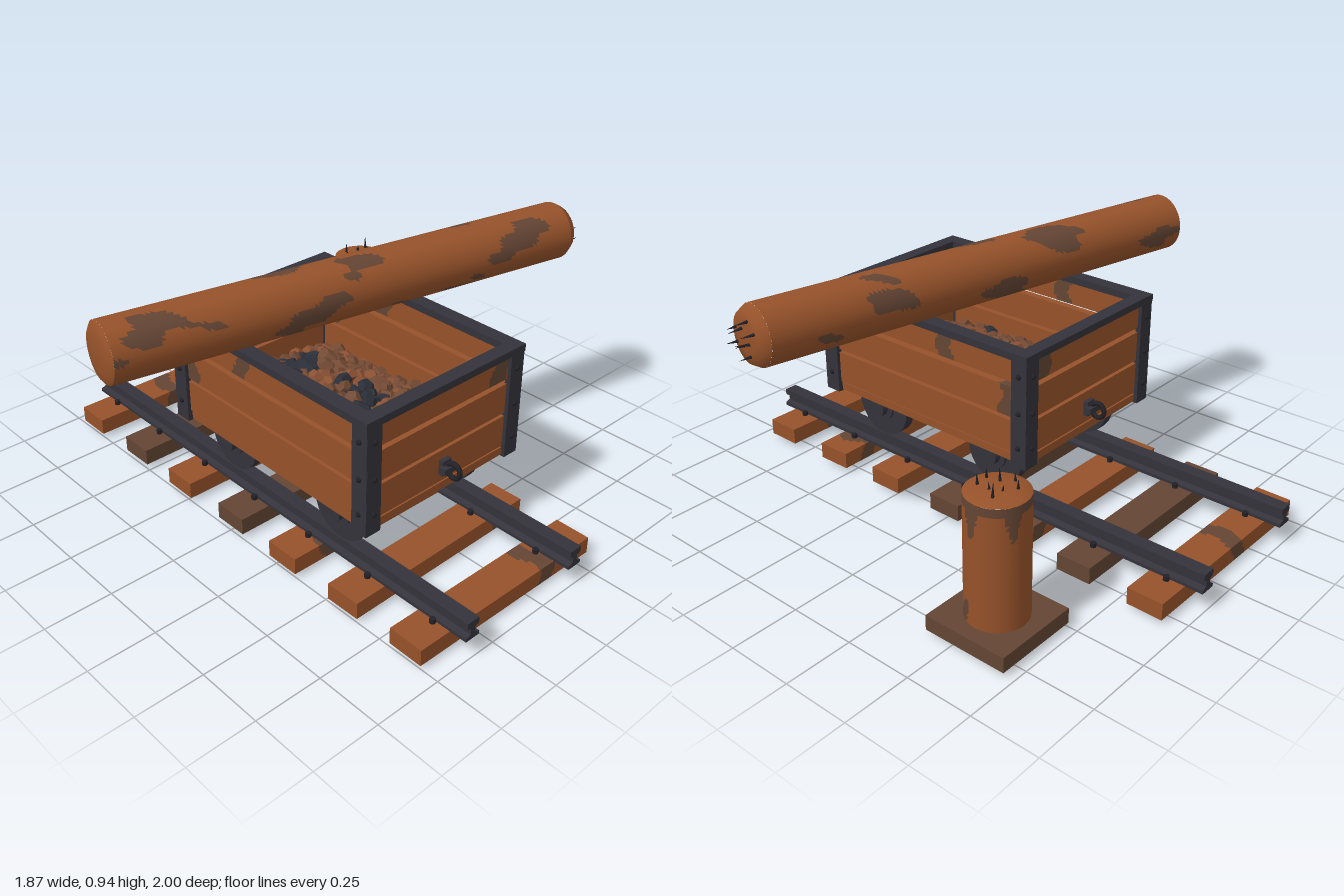
import * as THREE from 'three';

const mat = (name, color, extra = {}) => {
  const m = new THREE.MeshStandardMaterial({ color, ...extra });
  m.name = name;
  return m;
};

export function createModel() {
  const wood = mat('rusty wood', 0x96522a);
  const dark = mat('dark wood', 0x644534);
  const iron = mat('iron', 0x34323a);
  const black = mat('bolt black', 0x222127);
  const coal = mat('coal', 0x2c2f38, { flatShading: true });
  const oreA = mat('brown ore', 0x734a34, { flatShading: true });
  const oreB = mat('red ore', 0x8a5033, { flatShading: true });

  const model = new THREE.Group();
  model.name = 'oreWagonOnTrack';
  const CX = -0.1, CZ = 0.15; // wagon centre

  const add = (parent, name, geo, material, x = 0, y = 0, z = 0) => {
    const m = new THREE.Mesh(geo, material);
    m.name = name;
    m.position.set(x, y, z);
    parent.add(m);
    return m;
  };
  const group = (name, x = 0, y = 0, z = 0) => {
    const g = new THREE.Group();
    g.name = name;
    g.position.set(x, y, z);
    model.add(g);
    return g;
  };
  const box = (parent, name, material, w, h, d, x, y, z) =>
    add(parent, name, new THREE.BoxGeometry(w, h, d), material, x, y, z);

  // Sort faces into plain (0) and stained (1) by a rule on the face centre
  const stain = (geo, rule) => {
    const p = geo.attributes.position, idx = geo.index.array, sets = [[], []];
    for (let i = 0; i < idx.length; i += 3) {
      const c = new THREE.Vector3();
      for (let k = 0; k < 3; k++) c.add(new THREE.Vector3().fromBufferAttribute(p, idx[i + k]));
      c.divideScalar(3);
      sets[rule(c) ? 1 : 0].push(idx[i], idx[i + 1], idx[i + 2]);
    }
    geo.setIndex([...sets[0], ...sets[1]]);
    geo.clearGroups();
    geo.addGroup(0, sets[0].length, 0);
    geo.addGroup(sets[0].length, sets[1].length, 1);
    return geo;
  };

  // Plank lying along x with one ragged stained band
  const plank = (parent, name, len, h, d, x, y, z, at, half = 0.035) => {
    const geo = stain(new THREE.BoxGeometry(len, h, d, 60, 5, 5), (c) =>
      Math.abs(c.x - at + 0.014 * Math.sin(c.y * 50 + c.z * 40 + at * 9)) < half);
    return add(parent, name, geo, [wood, dark], x, y, z);
  };

  // Sleepers
  const track = group('track');
  const bands = [-0.05, 0, 0.3, 0, -0.25, 0.28, 0.18];
  for (let i = 0; i < 7; i++) {
    const z = -0.87 + i * 0.29;
    if (i === 1 || i === 3) box(track, 'darkSleeper', dark, 0.8, 0.062, 0.135, CX, 0.05, z);
    else plank(track, 'sleeper', 0.81, 0.062, 0.135, CX, 0.05, z, bands[i]).rotation.y = i % 2 ? 0.01 : -0.01;
  }

  // Rails with an I profile, and the spikes that hold them
  const half = [[0.03, 0.08], [0.03, 0.092], [0.01, 0.1], [0.01, 0.122], [0.026, 0.128], [0.026, 0.15]];
  const profile = new THREE.Shape([...half, ...half.map(([x, y]) => [-x, y]).reverse()]
    .map(([x, y]) => new THREE.Vector2(x, y)));
  for (const rx of [-0.35, 0.15]) {
    const geo = new THREE.ExtrudeGeometry(profile, { depth: 2, bevelEnabled: false });
    add(track, 'rail', geo, iron, rx, 0, -1);
    for (let i = 0; i < 7; i++) for (const s of [-1, 1])
      add(track, 'railSpike', new THREE.CylinderGeometry(0.011, 0.011, 0.018, 8), black,
        rx + s * 0.04, 0.088, -0.87 + i * 0.29);
  }

  // Wheels and axles
  const wagon = group('wagon', CX, 0, CZ);
  const roller = (name, r, len, material, x, y, z) =>
    add(wagon, name, new THREE.CylinderGeometry(r, r, len, 24), material, x, y, z).rotateZ(Math.PI / 2);
  for (const z of [-0.278, 0.278]) {
    roller('axle', 0.016, 0.6, iron, 0, 0.265, z);
    for (const s of [-1, 1]) {
      roller('wheel', 0.122, 0.04, iron, s * 0.25, 0.27, z);
      roller('hub', 0.055, 0.05, iron, s * 0.255, 0.265, z);
      roller('axleCap', 0.033, 0.04, iron, s * 0.285, 0.265, z);
    }
  }

  // Floor and the beams below it
  box(wagon, 'floor', dark, 0.66, 0.03, 0.92, 0, 0.33, 0);
  for (const s of [-1, 1]) {
    box(wagon, 'floorBeam', dark, 0.09, 0.035, 0.86, s * 0.15, 0.298, 0);
    box(wagon, 'frontSill', wood, 0.6, 0.03, 0.02, 0, 0.33, s * 0.465);
    box(wagon, 'sideSill', wood, 0.02, 0.03, 0.86, s * 0.33, 0.33, 0);
  }

  // Plank walls, three rows with open gaps
  const rows = [[0.411, 0.12], [0.54, 0.112], [0.662, 0.095]];
  rows.forEach(([y, h], i) => {
    for (const s of [-1, 1]) {
      plank(wagon, 'endPlank', 0.62, h, 0.03, 0, y, s * 0.46, [0.5, 0.5, 0.26][i], 0.04);
      const side = plank(wagon, 'sidePlank', 0.88, h, 0.03, s * 0.33, y, 0, [0.6, 0.4, 0.12][i]);
      side.rotation.y = Math.PI / 2;
    }
  });

  // Iron corner angles with bolts
  for (const sx of [-1, 1]) for (const sz of [-1, 1]) {
    box(wagon, 'cornerEndPlate', iron, 0.06, 0.41, 0.022, sx * 0.325, 0.515, sz * 0.478);
    box(wagon, 'cornerSidePlate', iron, 0.022, 0.41, 0.065, sx * 0.347, 0.515, sz * 0.456);
    for (const y of [0.385, 0.515, 0.65]) {
      add(wagon, 'endBolt', new THREE.SphereGeometry(0.01, 8, 6), black, sx * 0.325, y, sz * 0.489);
      add(wagon, 'sideBolt', new THREE.SphereGeometry(0.01, 8, 6), black, sx * 0.358, y, sz * 0.456);
    }
  }

  // Top frame
  for (const s of [-1, 1]) {
    box(wagon, 'topSideRail', iron, 0.055, 0.026, 0.98, s * 0.333, 0.716, 0);
    box(wagon, 'topEndRail', iron, 0.62, 0.026, 0.052, 0, 0.716, s * 0.464);
  }

  // Coupling rings on both ends
  for (const s of [-1, 1]) {
    box(wagon, 'couplingPlate', iron, 0.04, 0.055, 0.02, 0, 0.41, s * 0.483);
    box(wagon, 'couplingBar', iron, 0.06, 0.022, 0.025, 0, 0.41, s * 0.5);
    add(wagon, 'couplingRing', new THREE.TorusGeometry(0.027, 0.009, 8, 20), black, 0, 0.41, s * 0.522)
      .rotation.y = Math.PI / 2;
  }

  // Heap of ore and coal lumps
  let seed = 11;
  const rnd = () => (seed = (seed * 16807) % 2147483647) / 2147483647;
  const load = new THREE.Group();
  load.name = 'oreLoad';
  wagon.add(load);
  for (let i = 0; i < 15; i++) for (let j = 0; j < 21; j++) {
    const x = -0.265 + 0.53 * (i / 14) + (rnd() - 0.5) * 0.03;
    const z = -0.39 + 0.78 * (j / 20) + (rnd() - 0.5) * 0.03;
    const heap = Math.max(0, 1 - (x / 0.31) ** 2) * Math.max(0, 1 - (z / 0.47) ** 2);
    const r = 0.024 + rnd() * 0.017;
    const geo = new THREE.DodecahedronGeometry(r, 0);
    geo.scale(0.8 + rnd() * 0.5, 0.6 + rnd() * 0.4, 0.8 + rnd() * 0.5);
    const clump = Math.sin(x * 17 + 1) + Math.sin(z * 19 + x * 8) + rnd() * 1.4;
    const m = clump > 1.75 ? coal : rnd() < 0.6 ? oreA : oreB;
    add(load, m === coal ? 'coalLump' : 'oreLump', geo, m, x, 0.36 + heap * 0.105 + rnd() * 0.025, z)
      .rotation.set(rnd() * 6, rnd() * 6, rnd() * 6);
  }

  // Round pillar along +y: stained shaft, bevelled ends, rods on top
  const pillar = (parent, len, bevel, rule) => {
    const R = 0.106;
    const shaft = new THREE.CylinderGeometry(R, R, len - bevel - 0.02, 48, Math.ceil(len * 60), true);
    shaft.translate(0, (len - bevel + 0.02) / 2, 0);
    add(parent, 'shaft', stain(shaft, (c) => rule(c.y, Math.atan2(c.z, c.x))), [wood, dark]);
    const end = (name, y0, dir, b) => {
      const pts = [[R, 0], [0.088, b], [0.05, b + 0.006], [0, b + 0.008]];
      const lathe = new THREE.LatheGeometry(pts.map(([x, y]) => new THREE.Vector2(x, y)), 24);
      const m = add(parent, name, lathe, wood, 0, y0, 0);
      if (dir < 0) m.rotation.x = Math.PI;
    };
    end('topEnd', len - bevel, 1, bevel);
    end('bottomEnd', 0.02, -1, 0.012);
    for (let i = 0; i < 8; i++) {
      const a = i * 0.785 + 0.3, r = i % 3 ? 0.062 : 0.03, h = 0.025 + rnd() * 0.035;
      const rod = add(parent, 'brokenRod', new THREE.ConeGeometry(0.006, h, 6), black,
        r * Math.cos(a), len + h / 2, r * Math.sin(a));
      rod.rotation.set((rnd() - 0.5) * 0.3, 0, (rnd() - 0.5) * 0.3);
    }
  };

  // Long pillar lying across the wagon
  const a = Math.atan2(0.345, 1.765);
  const log = group('fallenPillar', -0.912, 0.836, -0.082);
  log.rotation.set(0, -a, -Math.PI / 2);
  pillar(log, 1.83, 0.03, (s, t) =>
    Math.sin(9 * s + 1.7 * Math.sin(2 * t) + 1) + 0.7 * Math.sin(17 * s + 3 * Math.sin(t + 1)) +
    0.6 * Math.sin(3 * t + 5 * s) + 0.35 * Math.sin(8 * t + 31 * s) > 1.05);

  // Standing pillar on its foot plate, stained in drips from the top
  const stump = group('standingPillar', 0.66, 0, -0.56);
  pillar(stump, 0.52, 0.008, (y, t) =>
    y > 0.48 - 0.07 * Math.max(0, Math.sin(5 * t + 1) + 0.4 * Math.sin(9 * t)) ||
    Math.sin(13 * y + 2 * Math.sin(t)) + Math.sin(2 * t + 5 * y) + 0.3 * Math.sin(7 * t + 30 * y) > 1.6);
  box(stump, 'footPlate', dark, 0.315, 0.055, 0.315, 0, 0.046, 0);

  return model;
}
